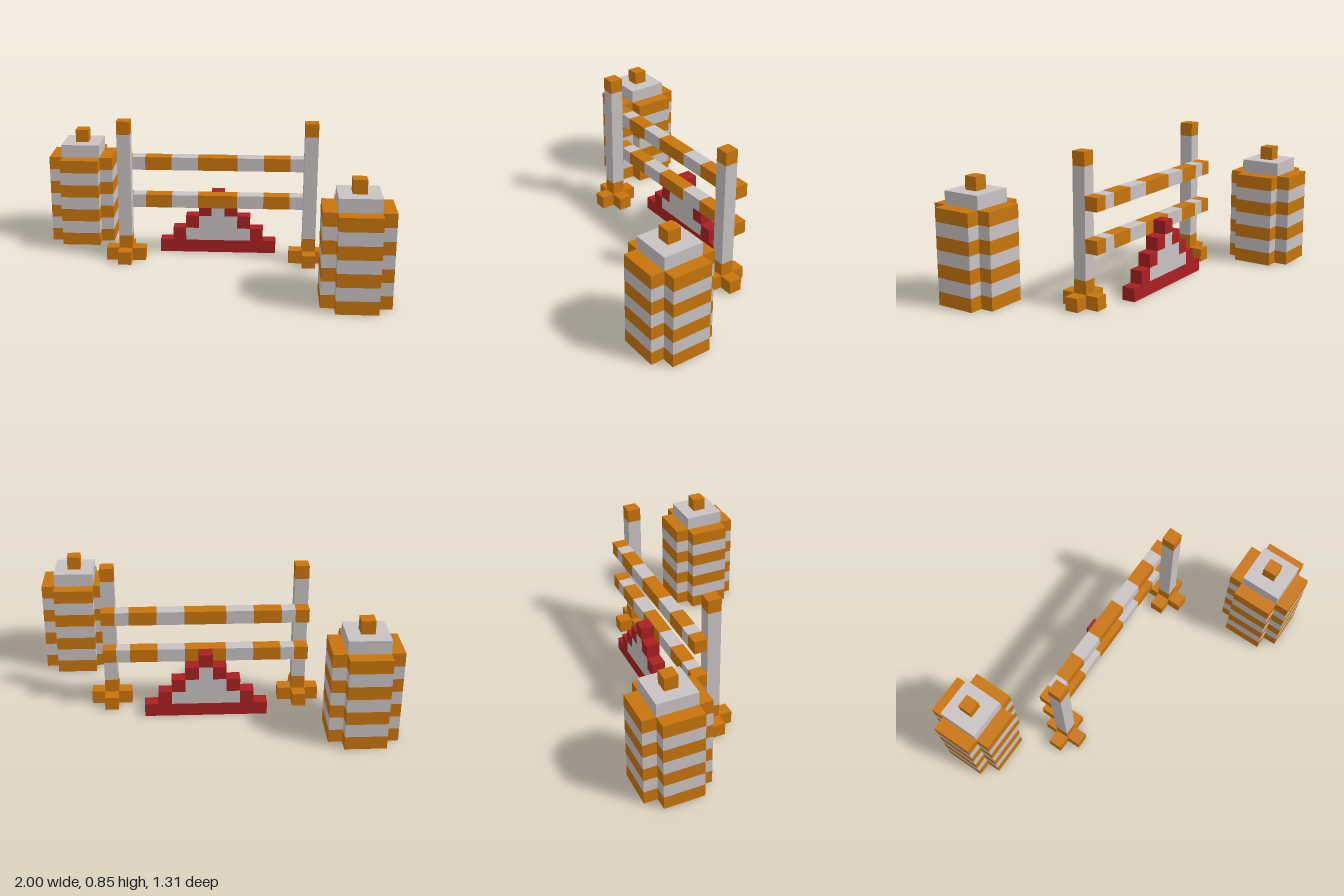
import * as THREE from 'three';

const U = 2 / 26; // one block

const mat = (name, color) => {
  const m = new THREE.MeshStandardMaterial({ color });
  m.name = name;
  return m;
};

export function createModel() {
  const orange = mat('orange', 0xc8750c);
  const grey = mat('pale grey', 0xc9c2c2);
  const red = mat('red', 0xaa2022);

  // Block coordinates to model coordinates: the grid is 26 wide and 17 deep
  const place = (o, x, y, z) => o.position.set((x - 13) * U, y * U, (z - 8.5) * U);

  // Box from its lowest corner and its size, both in blocks
  function box(parent, name, material, x, y, z, w, h, d) {
    const m = new THREE.Mesh(new THREE.BoxGeometry(w * U, h * U, d * U), material);
    m.name = name;
    place(m, x + w / 2, y + h / 2, z + d / 2);
    parent.add(m);
  }

  // Plus-shaped slab one block high, centred on x, z
  function plus(parent, name, material, x, y, z, outer, inner) {
    const a = outer * U / 2, b = inner * U / 2;
    const pts = [[a, -b], [a, b], [b, b], [b, a], [-b, a], [-b, b],
      [-a, b], [-a, -b], [-b, -b], [-b, -a], [b, -a], [b, -b]];
    const shape = new THREE.Shape(pts.map(([px, py]) => new THREE.Vector2(px, py)));
    const geo = new THREE.ExtrudeGeometry(shape, { depth: U, bevelEnabled: false });
    geo.rotateX(-Math.PI / 2);
    const m = new THREE.Mesh(geo, material);
    m.name = name;
    place(m, x, y, z);
    parent.add(m);
  }

  const model = new THREE.Group();
  model.name = 'barrierSet';
  const part = (name) => {
    const g = new THREE.Group();
    g.name = name;
    model.add(g);
    return g;
  };

  // Striped barrels with a lid and a knob
  for (const [name, x, z] of [['rightBarrel', 2.5, 2.5], ['leftBarrel', 23.5, 14.5]]) {
    const g = part(name);
    for (let y = 0; y < 7; y++) plus(g, 'barrelStripe', y % 2 ? grey : orange, x, y, z, 5, 3);
    box(g, 'barrelLid', grey, x - 1.5, 7, z - 1.5, 3, 1, 3);
    box(g, 'barrelKnob', orange, x - 0.5, 8, z - 0.5, 1, 1, 1);
  }

  // Posts on plus-shaped feet
  for (const [name, x] of [['rightPost', 6], ['leftPost', 20]]) {
    const g = part(name);
    plus(g, 'postFoot', orange, x + 0.5, 0, 7.5, 3, 1);
    box(g, 'postCollar', orange, x, 1, 7, 1, 1, 1);
    box(g, 'postShaft', grey, x, 2, 7, 1, 8, 1);
    box(g, 'postCap', orange, x, 10, 7, 1, 1, 1);
  }

  // Two banded rails behind the posts
  for (const [name, y] of [['lowerRail', 4], ['upperRail', 7]]) {
    const g = part(name);
    let x = 6;
    [1, 1, 2, 2, 3, 2, 2, 1, 1].forEach((w, i) => {
      box(g, 'railBand', i % 2 ? grey : orange, x, y, 6, w, 1, 1);
      x += w;
    });
  }

  // Stepped warning triangle with a red border
  const sign = part('warningTriangle');
  box(sign, 'triangleBase', red, 9, 0, 5, 9, 1, 1);
  for (let y = 1; y < 4; y++) {
    const r = 4 - y; // blocks from the middle to the border
    box(sign, 'triangleBorder', red, 13 - r, y, 5, 1, 1, 1);
    box(sign, 'triangleBorder', red, 13 + r, y, 5, 1, 1, 1);
    box(sign, 'triangleFace', grey, 14 - r, y, 5, 2 * r - 1, 1, 1);
  }
  box(sign, 'triangleTip', red, 13, 4, 5, 1, 1, 1);

  return model;
}
